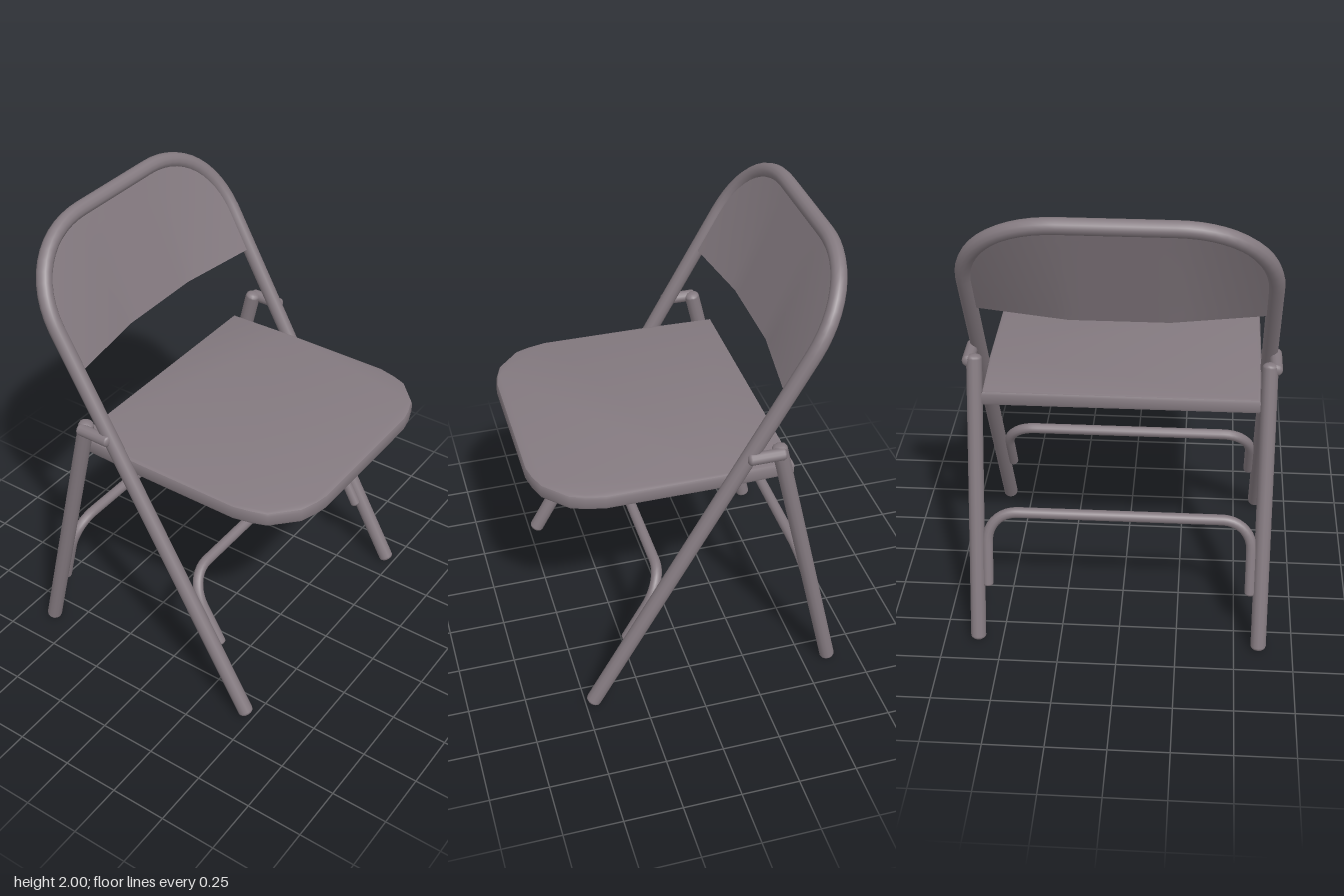
import * as THREE from 'three';
import { toCreasedNormals } from 'three/addons/utils/BufferGeometryUtils.js';

const V = (x, y, z) => new THREE.Vector3(x, y, z);

// Points in the sloping planes of the front frame and of the rear legs
const onFrame = (y, z) => V(0.465 - 0.559 * (y - 0.03), y, z);
const onRear = (y, z) => V(-0.615 + 0.236 * (y - 0.02), y, z);

// Rounded shoulder of the back arch (left side), in frame coordinates
const shoulder = (side) => new THREE.CubicBezierCurve3(
  onFrame(1.65, 0.605 * side), onFrame(1.84, 0.605 * side),
  onFrame(1.967, 0.45 * side), onFrame(1.967, 0.22 * side));

const reversed = (c) => new THREE.CubicBezierCurve3(c.v3, c.v2, c.v1, c.v0);

function pathOf(...curves) {
  const path = new THREE.CurvePath();
  curves.forEach((c) => path.add(c));
  return path;
}

export function createModel() {
  const chair = new THREE.Group();
  chair.name = 'foldingChair';
  const metal = new THREE.MeshStandardMaterial({ color: 0x847a80 });
  metal.name = 'greyPaint';

  function add(name, geometry, parent = chair) {
    const mesh = new THREE.Mesh(geometry, metal);
    mesh.name = name;
    parent.add(mesh);
    return mesh;
  }

  // Bent tube with blunt rounded ends
  function tube(name, path, radius, segments) {
    const group = new THREE.Group();
    group.name = name;
    chair.add(group);
    add(name + 'Tube', new THREE.TubeGeometry(path, segments, radius, 12), group);
    for (const t of [0, 1]) {
      const cap = add(name + 'Cap', new THREE.SphereGeometry(radius, 12, 8), group);
      cap.scale.y = 0.6;
      cap.position.copy(path.getPointAt(t));
      cap.quaternion.setFromUnitVectors(V(0, 1, 0), path.getTangentAt(t));
    }
  }

  // Front legs and back arch, one continuous tube
  const left = shoulder(1), right = shoulder(-1);
  tube('frontFrame', pathOf(
    new THREE.LineCurve3(onFrame(0.03, 0.605), left.v0), left,
    new THREE.LineCurve3(left.v3, right.v3), reversed(right),
    new THREE.LineCurve3(right.v0, onFrame(0.03, -0.605))), 0.033, 120);

  // Rear legs and the links joining them to the frame
  for (const s of [1, -1]) {
    const side = s > 0 ? 'left' : 'right';
    tube(side + 'RearLeg', new THREE.LineCurve3(onRear(0.02, 0.605 * s), onRear(1.235, 0.605 * s)), 0.033, 1);
    tube(side + 'Link', new THREE.LineCurve3(V(-0.335, 1.226, 0.63 * s), V(-0.2, 1.226, 0.63 * s)), 0.026, 1);
  }

  // U-shaped braces lying in the plane of each pair of legs
  function brace(name, at, bottom, top) {
    const z = 0.56, r = 0.13;
    const corner = (s) => new THREE.CubicBezierCurve3(
      at(top - r, z * s), at(top - r * 0.42, z * s),
      at(top, (z - r * 0.42) * s), at(top, (z - r) * s));
    const a = corner(1), b = corner(-1);
    tube(name, pathOf(
      new THREE.LineCurve3(at(bottom, z), a.v0), a,
      new THREE.LineCurve3(a.v3, b.v3), reversed(b),
      new THREE.LineCurve3(b.v0, at(bottom, -z))), 0.023, 80);
  }
  brace('frontBrace', onFrame, 0.32, 0.607);
  brace('rearBrace', onRear, 0.26, 0.58);

  // Seat with square rear corners and rounded front corners
  const half = [[-0.41, 0.57], [-0.1, 0.58], [0.38, 0.58], [0.46, 0.562], [0.52, 0.54],
    [0.615, 0.44], [0.64, 0.37], [0.652, 0.31]];
  const outline = [...half, ...half.map(([x, z]) => [x, -z]).reverse()];
  const seat = new THREE.ExtrudeGeometry(
    new THREE.Shape(outline.map(([x, z]) => new THREE.Vector2(x, z))),
    { depth: 0.037, bevelThickness: 0.015, bevelSize: 0.015, bevelOffset: -0.015, bevelSegments: 2 });
  seat.rotateX(-Math.PI / 2).translate(0, 1.073, 0);
  add('seat', toCreasedNormals(seat, 0.7));

  // Back panel: a sheet filling the arch, dished backwards towards its lower edge
  const panel = new THREE.BoxGeometry(1, 1, 1, 1, 20, 24);
  const pos = panel.attributes.position;
  for (let i = 0; i < pos.count; i++) {
    const v = pos.getY(i) + 0.5, u = pos.getZ(i) * 2;
    const edge = v < 0.25
      ? onFrame(1.49 + 0.64 * v, 0.6)
      : left.getPoint((v - 0.25) / 0.75);
    const z = edge.z * u;
    const fade = 1 - (edge.y - 1.49) / 0.477;
    const dish = 1 - Math.max(0, Math.abs(z) - 0.2) / 0.4;
    const thickness = 0.025 + 0.028 * fade * dish;
    pos.setXYZ(i, edge.x - 0.072 * fade * dish + pos.getX(i) * thickness, edge.y, z);
  }
  panel.computeVertexNormals();
  add('backPanel', panel);

  return chair;
}
